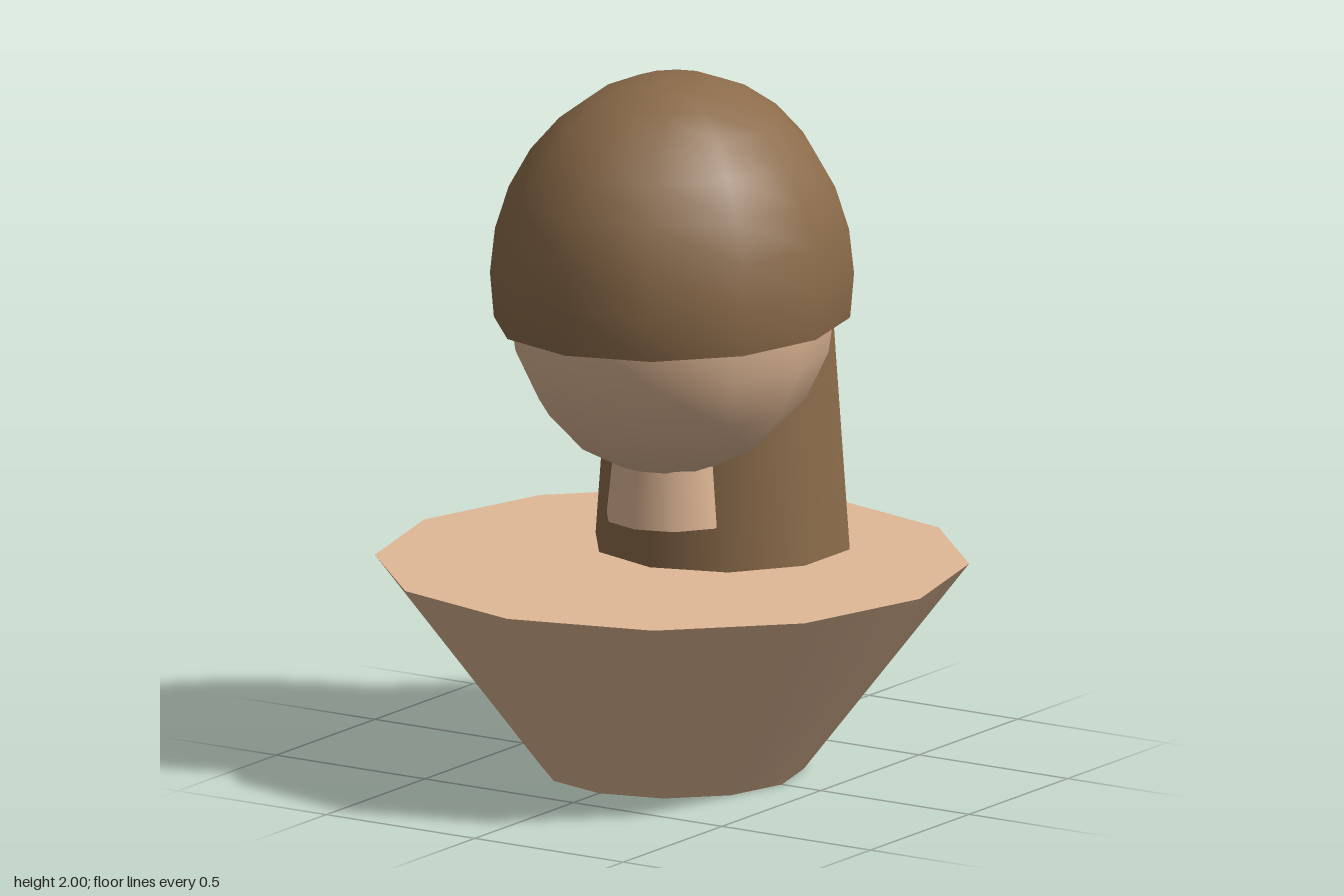
import * as THREE from 'three';

export function createModel() {
  const model = new THREE.Group();
  const skin = new THREE.MeshStandardMaterial({ color: 0xe0b896 });
  skin.name = 'skin';
  const brown = new THREE.MeshStandardMaterial({ color: 0x8b6b4a, side: THREE.DoubleSide });
  brown.name = 'hair brown';

  const add = (name, geometry, material, y, z = 0) => {
    const mesh = new THREE.Mesh(geometry, material);
    mesh.name = name;
    mesh.position.set(0, y, z);
    model.add(mesh);
    return mesh;
  };
  // Tapered column standing between two heights
  const column = (name, rTop, rBottom, y0, y1, sides, material, z) =>
    add(name, new THREE.CylinderGeometry(rTop, rBottom, y1 - y0, sides), material, (y0 + y1) / 2, z);

  // Shoulders flaring upward, with the neck standing above them
  column('shoulders', 0.835, 0.37, 0, 0.6, 12, skin);
  column('neck', 0.16, 0.19, 0.725, 1.0, 10, skin);

  // Head: an ellipsoid
  const head = new THREE.SphereGeometry(1, 12, 10);
  head.scale(0.45, 0.5, 0.495);
  add('head', head, skin, 1.355);

  // Hair cap: an open ellipsoid cut just below its widest ring
  const cap = new THREE.SphereGeometry(1, 12, 8, 0, Math.PI * 2, 0, 1.779);
  cap.scale(0.495, 0.58, 0.555);
  add('hairCap', cap, brown, 1.42);

  // Long hair falling behind the head to the shoulders
  column('backHair', 0.31, 0.37, 0.6, 1.435, 10, brown, -0.257);

  return model;
}
